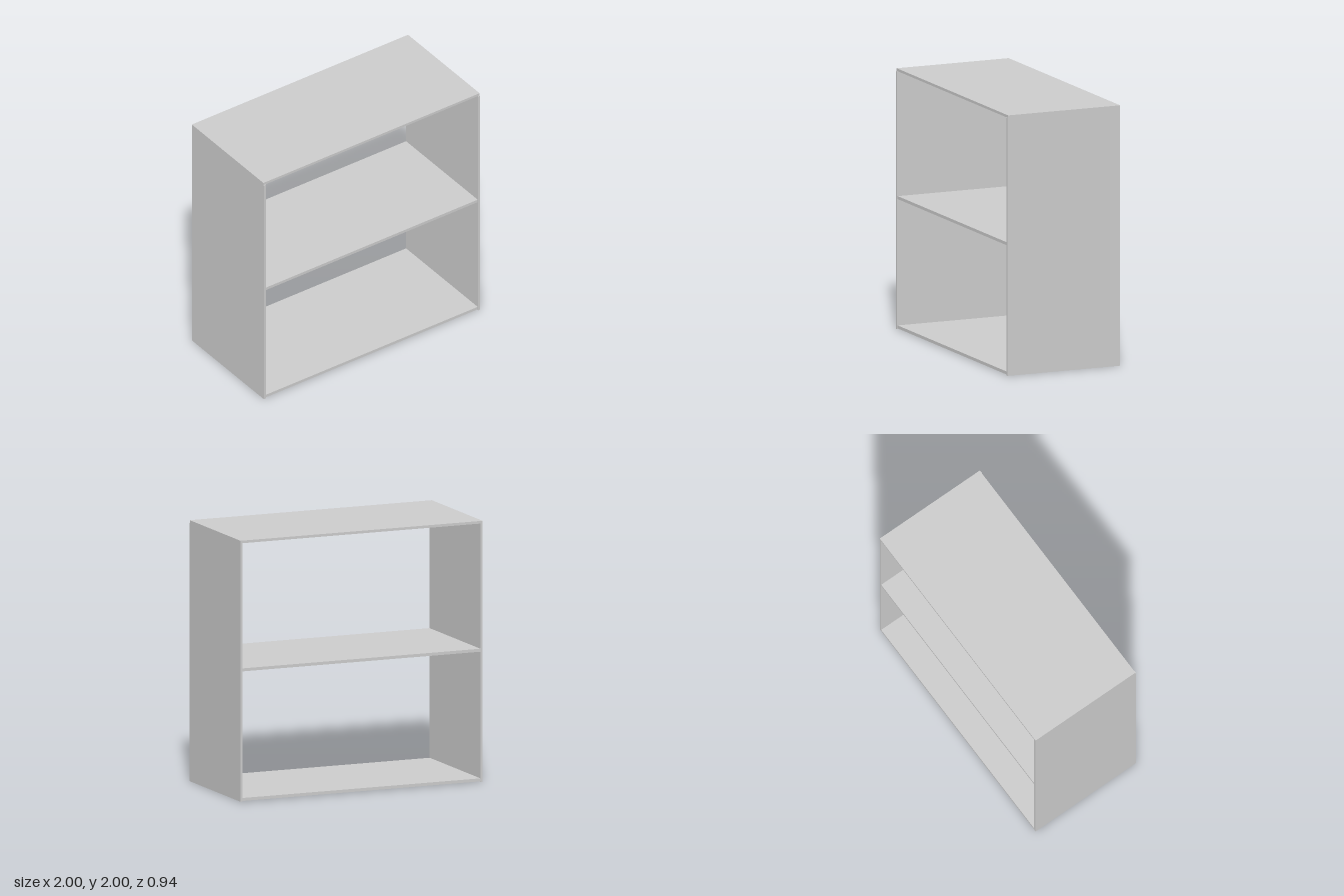
import * as THREE from 'three';

export function createModel() {
  const group = new THREE.Group();
  const material = new THREE.MeshStandardMaterial({ color: 0xcccccc, flatShading: true });

  // A board given by its lower and upper limits on each axis
  function board(name, [x0, x1], [y0, y1], [z0, z1]) {
    const mesh = new THREE.Mesh(new THREE.BoxGeometry(x1 - x0, y1 - y0, z1 - z0), material);
    mesh.position.set((x0 + x1) / 2, (y0 + y1) / 2, (z0 + z1) / 2);
    mesh.name = name;
    group.add(mesh);
  }

  const inner = 0.982; // inside face of the side panels
  const shelfDepth = [-0.468, 0.461];
  const sideDepth = [-0.468, 0.468];

  // Upright side panels, standing slightly proud of the shelves
  board('leftPanel', [inner, 1], [0, 1.98], sideDepth);
  board('rightPanel', [-1, -inner], [0, 1.98], sideDepth);

  // Top lies over the panels, the shelves fit between them
  board('topPanel', [-1, 1], [1.98, 2], shelfDepth);
  board('middleShelf', [-inner, inner], [0.998, 1.021], shelfDepth);
  board('bottomShelf', [-inner, inner], [0.005, 0.028], shelfDepth);

  return group;
}
